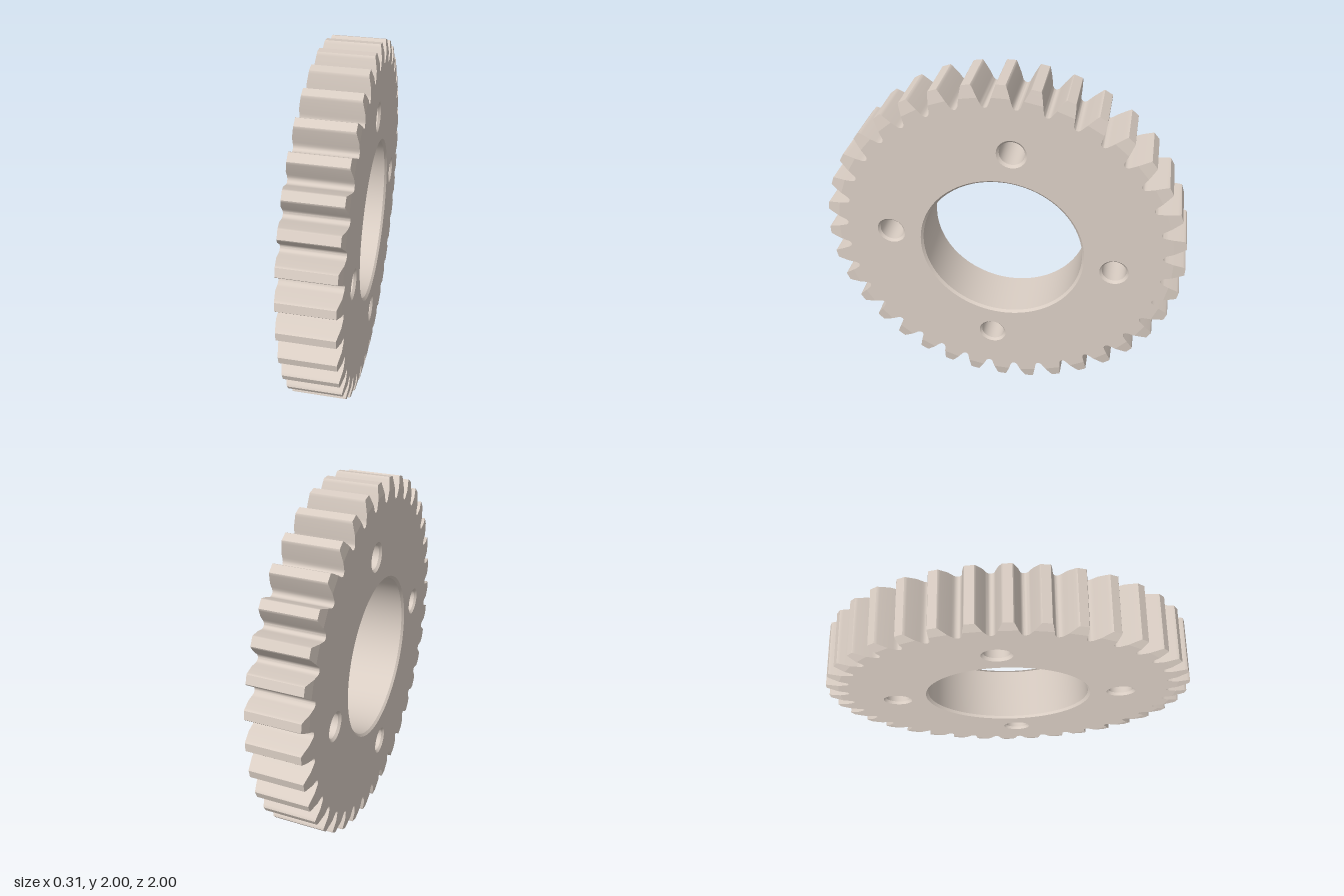
import * as THREE from 'three';
import { toCreasedNormals } from 'three/addons/utils/BufferGeometryUtils.js';

const TEETH = 36, HALF = 0.157, CHAMFER_R = 0.935;
const BORE = { r: 0.447, chamfer: 0.013, sides: 96 };
const BOLT = { r: 0.067, chamfer: 0.013, sides: 32, circle: 0.63 };

// Half tooth from gullet floor to tip: [radius, half width]
const PROFILE = [
  [0.881, 0.0768], [0.8825, 0.0705], [0.887, 0.064], [0.895, 0.059], [0.91, 0.0545],
  [CHAMFER_R, 0.047], [0.96, 0.039], [0.985, 0.0305], [0.997, 0.026], [1.0, 0.023],
];

// Half thickness at a radius: the tooth ends are turned down to a cone
const halfAt = (r) => HALF - 0.012 * Math.max(0, (r - CHAMFER_R) / (1 - CHAMFER_R));

const polar = (r, a) => new THREE.Vector2(r * Math.cos(a), r * Math.sin(a));

function circle(cx, cy, r, n) {
  return Array.from({ length: n }, (_, i) => polar(r, (i / n) * Math.PI * 2).add(new THREE.Vector2(cx, cy)));
}

// Counter-clockwise outline of all teeth, up to a largest radius
function gearOutline(maxR) {
  const rows = PROFILE.filter(([r]) => r <= maxR);
  const points = [];
  for (let t = 0; t < TEETH; t++) {
    const a = (t / TEETH) * Math.PI * 2;
    rows.forEach(([r, w], i) => points.push(polar(r, i === 0 ? a - Math.PI / TEETH : a - w / r)));
    rows.slice(1).reverse().forEach(([r, w]) => points.push(polar(r, a + w / r)));
  }
  return points;
}

// Collects triangles and quads, optionally mirrored to the back face
function collector() {
  const pos = [];
  const tri = (...p) => p.forEach(([x, y, z]) => pos.push(x, y, z));
  const quad = (a, b, c, d) => { tri(a, b, c); tri(a, c, d); };
  const flip = ([x, y, z]) => [x, y, -z];
  return {
    quad,
    bothTri(a, b, c) { tri(a, b, c); tri(flip(a), flip(c), flip(b)); },
    bothQuad(a, b, c, d) { quad(a, b, c, d); quad(flip(a), flip(d), flip(c), flip(b)); },
    geometry(crease) {
      const g = new THREE.BufferGeometry();
      g.setAttribute('position', new THREE.Float32BufferAttribute(pos, 3));
      return toCreasedNormals(g, crease);
    },
  };
}

// Tooth flanks, gullets, tips and the conical tooth ends
function teethGeometry() {
  const c = collector();
  const outline = gearOutline(2);
  outline.forEach((p, i) => {
    const q = outline[(i + 1) % outline.length];
    const hp = halfAt(p.length()), hq = halfAt(q.length());
    c.quad([p.x, p.y, -hp], [q.x, q.y, -hq], [q.x, q.y, hq], [p.x, p.y, hp]);
  });
  const rows = PROFILE.filter(([r]) => r >= CHAMFER_R);
  for (let t = 0; t < TEETH; t++) {
    const at = ([r, w], side) => {
      const p = polar(r, (t / TEETH) * Math.PI * 2 + side * w / r);
      return [p.x, p.y, halfAt(r)];
    };
    for (let j = 0; j < rows.length - 1; j++) {
      c.bothQuad(at(rows[j], -1), at(rows[j + 1], -1), at(rows[j + 1], 1), at(rows[j], 1));
    }
  }
  return c.geometry(0.7);
}

// Flat side faces with the bore and bolt holes cut out
function facesGeometry(boltCentres) {
  const c = collector();
  const outline = gearOutline(CHAMFER_R);
  const holes = [circle(0, 0, BORE.r + BORE.chamfer, BORE.sides)];
  boltCentres.forEach((p) => holes.push(circle(p.x, p.y, BOLT.r + BOLT.chamfer, BOLT.sides)));
  holes.forEach((h) => h.reverse());
  const all = [outline, ...holes].flat();
  const v = (i) => [all[i].x, all[i].y, HALF];
  THREE.ShapeUtils.triangulateShape(outline, holes).forEach(([i, j, k]) => c.bothTri(v(i), v(j), v(k)));
  return c.geometry(0.3);
}

// Inward-facing wall of a round hole with chamfered rims
function holeGeometry({ r, chamfer, sides }) {
  const points = [
    [r + chamfer, HALF], [r, HALF - chamfer], [r, chamfer - HALF], [r + chamfer, -HALF],
  ].map(([x, y]) => new THREE.Vector2(x, y));
  return toCreasedNormals(new THREE.LatheGeometry(points, sides).rotateX(Math.PI / 2), 0.5);
}

export function createModel() {
  const material = new THREE.MeshStandardMaterial({ color: 0xd9cdc3 });
  const gear = new THREE.Group();
  gear.name = 'spurGear';
  const add = (name, geometry) => {
    const mesh = new THREE.Mesh(geometry, material);
    mesh.name = name;
    gear.add(mesh);
    return mesh;
  };

  // Four bolt holes, turned half a tooth from the axes
  const boltCentres = [0, 1, 2, 3].map((i) => polar(BOLT.circle, (i * Math.PI) / 2 - Math.PI / TEETH));

  add('teeth', teethGeometry());
  add('sideFaces', facesGeometry(boltCentres));
  add('bore', holeGeometry(BORE));
  const boltGeometry = holeGeometry(BOLT);
  boltCentres.forEach((p, i) => add(`boltHole${i + 1}`, boltGeometry).position.set(p.x, p.y, 0));

  // Lay the gear axis along x and stand it on the ground
  gear.rotation.y = Math.PI / 2;
  gear.position.y = 1;
  const model = new THREE.Group();
  model.name = 'gearModel';
  model.add(gear);
  return model;
}
